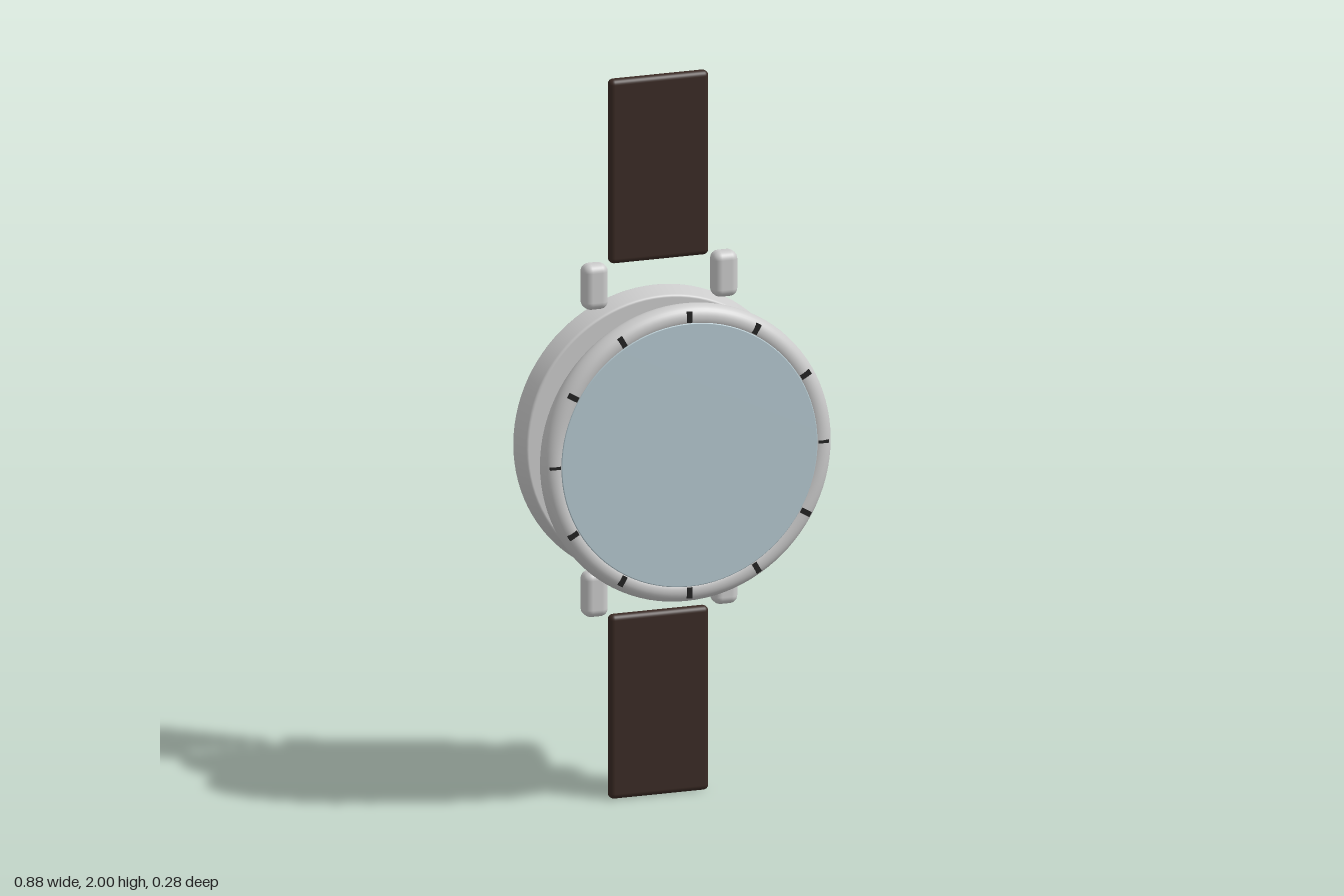
import * as THREE from 'three';
import { RoundedBoxGeometry } from 'three/addons/geometries/RoundedBoxGeometry.js';

const CX = -0.027, CY = 1.005; // axis of the watch

const paint = (color) => new THREE.MeshStandardMaterial({ color });
const metal = paint(0xcccccc);
const leather = paint(0x3a2a24);
const black = paint(0x222222);
const blue = paint(0x2c2a9c);
const glassBlue = paint(0xb4c8d0);
const brass = paint(0xc49a45);
const ruby = paint(0xa01525);
const steel = paint(0xa8a8b4);

export function createModel() {
  const model = new THREE.Group();

  function add(name, geometry, material, x, y, z) {
    const mesh = new THREE.Mesh(geometry, material);
    mesh.name = name;
    mesh.position.set(x, y, z);
    model.add(mesh);
    return mesh;
  }

  // Solid disc facing z with rounded edges, from back z0 (radius rBack) to front z1 (radius rFront)
  function disc(name, rBack, rFront, z0, z1, bevel, material) {
    const pts = [new THREE.Vector2(0, z0)];
    const n = 5;
    for (let i = 0; i <= n; i++) {
      const a = (i / n) * Math.PI / 2;
      pts.push(new THREE.Vector2(rBack - bevel + bevel * Math.sin(a), z0 + bevel - bevel * Math.cos(a)));
    }
    for (let i = 0; i <= n; i++) {
      const a = (i / n) * Math.PI / 2;
      pts.push(new THREE.Vector2(rFront - bevel + bevel * Math.cos(a), z1 - bevel + bevel * Math.sin(a)));
    }
    pts.push(new THREE.Vector2(0, z1));
    const geometry = new THREE.LatheGeometry(pts, 96);
    geometry.rotateX(Math.PI / 2);
    return add(name, geometry, material, CX, CY, 0);
  }

  // Toothed wheel with a jewel bearing on its front
  function gear(name, x, y, z, radius, teeth) {
    const shape = new THREE.Shape();
    const root = radius * 0.88;
    for (let i = 0; i < teeth; i++) {
      [[0, root], [0.25, radius], [0.5, radius], [0.75, root]].forEach(([f, r], k) => {
        const a = ((i + f) / teeth) * Math.PI * 2;
        const px = r * Math.cos(a), py = r * Math.sin(a);
        if (i === 0 && k === 0) shape.moveTo(px, py);
        else shape.lineTo(px, py);
      });
    }
    shape.closePath();
    const wheel = new THREE.ExtrudeGeometry(shape, { depth: 0.014, bevelEnabled: false });
    add(name, wheel, brass, x, y, z);
    const jewel = new THREE.CylinderGeometry(0.008, 0.011, 0.009, 20);
    jewel.rotateX(Math.PI / 2);
    add(name + 'Jewel', jewel, ruby, x, y, z + 0.0175);
  }

  // Case, tapering slightly to the front
  disc('case', 0.405, 0.392, -0.135, -0.065, 0.008, metal);

  // Crown on the side
  const crown = new THREE.CylinderGeometry(0.042, 0.042, 0.058, 40);
  crown.rotateZ(Math.PI / 2);
  add('crown', crown, metal, 0.409, CY, -0.098);
  const stem = new THREE.CylinderGeometry(0.018, 0.018, 0.04, 20);
  stem.rotateZ(Math.PI / 2);
  add('crownStem', stem, metal, 0.37, CY, -0.098);

  // Lugs and strap halves
  for (const s of [1, -1]) {
    const end = s > 0 ? 'upper' : 'lower';
    for (const t of [1, -1]) {
      add(end + (t > 0 ? 'LeftLug' : 'RightLug'), new RoundedBoxGeometry(0.07, 0.126, 0.057, 4, 0.022),
        metal, CX + t * 0.185, CY + s * 0.427, -0.099);
    }
    add(end + 'Strap', new RoundedBoxGeometry(0.284, 0.512, 0.033, 4, 0.015),
      leather, CX, s > 0 ? 1.744 : 0.256, -0.106);
  }

  // Movement: base plate and two layers of wheels
  disc('movementPlate', 0.335, 0.335, -0.052, -0.034, 0.004, steel);
  gear('rearLowerGear', 0, 0.835, -0.02, 0.086, 24);
  gear('rearUpperGear', 0.06, 1.163, -0.02, 0.074, 20);
  gear('frontLargeGear', -0.14, 1.072, 0.009, 0.139, 36);
  gear('frontSmallGear', 0.102, 0.932, 0.009, 0.11, 28);

  // Dial with hour markers
  disc('dial', 0.349, 0.349, 0.039, 0.047, 0.002, blue);

  // Bezel and glass
  add('bezel', new THREE.TorusGeometry(0.379, 0.034, 32, 96), metal, CX, CY, 0.103);
  disc('glass', 0.366, 0.366, 0.08, 0.1365, 0.003, glassBlue);

  for (let i = 0; i < 12; i++) {
    const a = (i / 12) * Math.PI * 2;
    const dx = Math.cos(a), dy = Math.sin(a);
    const marker = add('hourMarker', new THREE.BoxGeometry(0.045, 0.016, 0.008), metal,
      CX + 0.29 * dx, CY + 0.29 * dy, 0.051);
    marker.rotation.z = a;
    const width = i % 6 === 0 ? 0.008 : 0.015;
    const tick = add('bezelTick', new THREE.BoxGeometry(0.03, width, 0.012), black,
      CX + 0.383 * dx, CY + 0.383 * dy, 0.132);
    tick.rotation.z = a;
  }

  return model;
}
